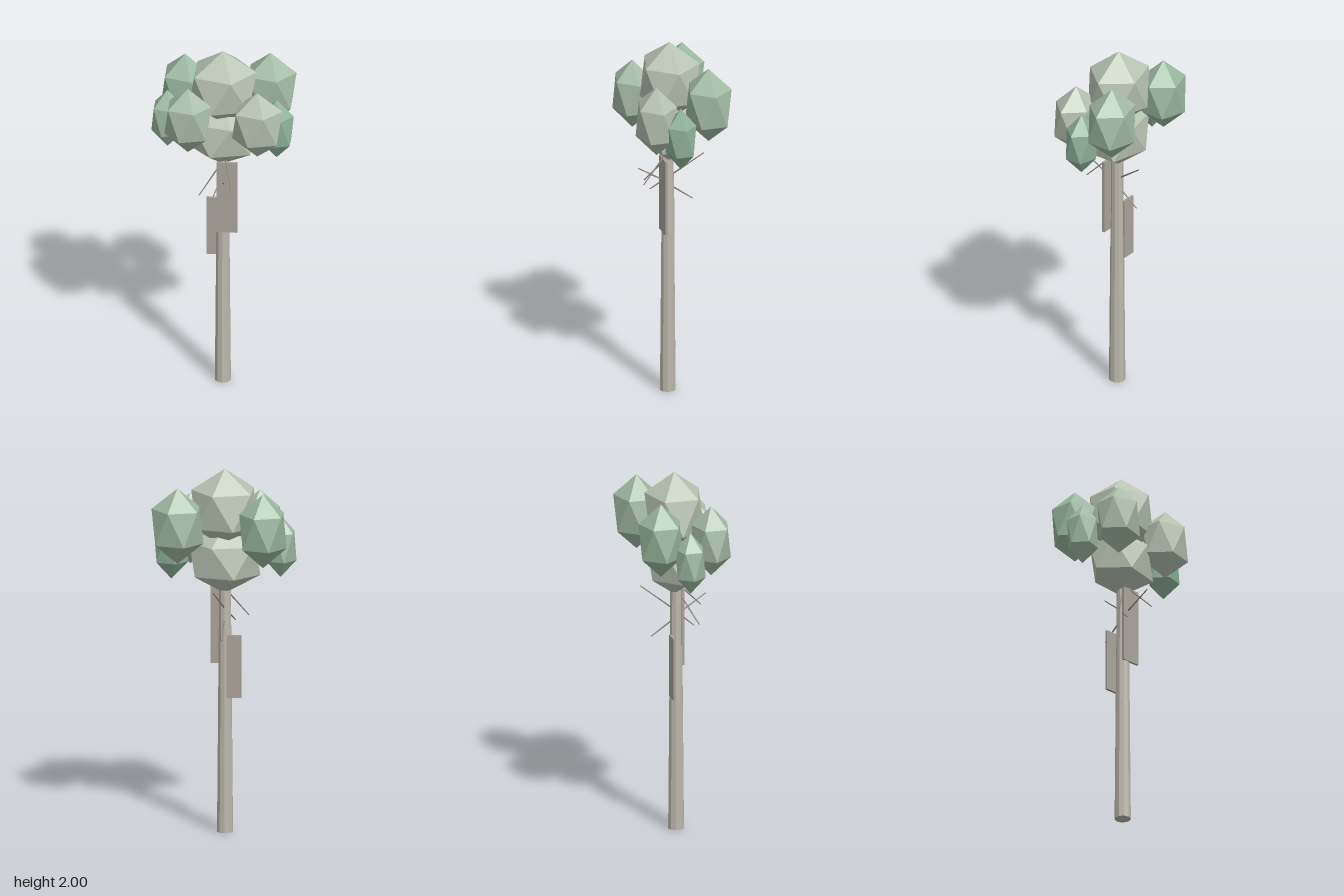
import * as THREE from 'three';

const material = (color) => new THREE.MeshStandardMaterial({ color, flatShading: true });

// Icosahedral leaf mass with a vertex at the top; rx and rz are its ring radii, h its half height
function foliageGeometry(rx, h, rz) {
  const ring = (y, turn) => Array.from({ length: 5 }, (_, i) => {
    const a = (i + turn) * Math.PI * 0.4;
    return [rx * Math.cos(a), y, rz * Math.sin(a)];
  });
  const k = h / Math.sqrt(5);
  const upper = ring(k, 0), lower = ring(-k, 0.5);
  const top = [0, h, 0], bottom = [0, -h, 0], pos = [];
  for (let i = 0; i < 5; i++) {
    const j = (i + 1) % 5;
    pos.push(...top, ...upper[j], ...upper[i]);
    pos.push(...upper[i], ...upper[j], ...lower[i]);
    pos.push(...upper[j], ...lower[j], ...lower[i]);
    pos.push(...bottom, ...lower[i], ...lower[j]);
  }
  const geometry = new THREE.BufferGeometry();
  geometry.setAttribute('position', new THREE.Float32BufferAttribute(pos, 3));
  geometry.computeVertexNormals();
  return geometry;
}

export function createModel() {
  const model = new THREE.Group();
  const add = (name, geometry, mat, x, y, z) => {
    const mesh = new THREE.Mesh(geometry, mat);
    mesh.name = name;
    mesh.position.set(x, y, z);
    model.add(mesh);
    return mesh;
  };

  // Tapered trunk
  add('trunk', new THREE.CylinderGeometry(0.032, 0.044, 1.38, 10), material(0xbdb8ad), 0, 0.69, 0.01);

  // Bark slabs on the front and back of the trunk
  const bark = material(0xaaa39b);
  add('frontBarkSlab', new THREE.BoxGeometry(0.11, 0.425, 0.014), bark, 0.025, 1.132, 0.042);
  add('backBarkSlab', new THREE.BoxGeometry(0.08, 0.345, 0.014), bark, -0.05, 0.918, -0.024);

  // Leaf masses: name, centre, ring radius x, half height, ring radius z, color
  const foliage = [
    ['crownFoliage', 0, 1.783, 0, 0.18, 0.217, 0.158, 0xb9c4b4],
    ['lowerFoliage', 0, 1.505, 0, 0.19, 0.19, 0.145, 0xb9c4b4],
    ['backRightFoliage', -0.215, 1.695, -0.136, 0.127, 0.203, 0.119, 0x9ab8a0],
    ['frontRightFoliage', -0.175, 1.655, 0.154, 0.125, 0.194, 0.104, 0xa8bda8],
    ['frontLeftFoliage', 0.195, 1.635, 0.135, 0.135, 0.194, 0.108, 0xb4c0b0],
    ['backLeftFoliage', 0.242, 1.715, -0.141, 0.139, 0.208, 0.1225, 0xa3bba5],
    ['smallRightFoliage', -0.297, 1.58, 0.005, 0.086, 0.171, 0.081, 0xa0baa4],
    ['smallLeftFoliage', 0.289, 1.557, 0.027, 0.092, 0.175, 0.081, 0x8fb39b],
  ];
  for (const [name, x, y, z, rx, h, rz, color] of foliage) {
    add(name, foliageGeometry(rx, h, rz), material(color), x, y, z);
  }

  // Bare twigs, each from the trunk to its tip
  const twigs = [
    [[-0.02, 1.31, 0.03], [-0.12, 1.17, 0.105]],
    [[0.015, 1.36, 0.03], [0.063, 1.22, 0.165]],
    [[0.003, 1.2, 0.02], [0.015, 1.3, 0.18]],
    [[-0.02, 1.2, 0.03], [-0.05, 1.145, 0.095]],
    [[0, 1.235, -0.01], [0.05, 1.36, -0.175]],
    [[0, 1.17, -0.01], [0.005, 1.086, -0.127]],
  ];
  const wood = material(0x8f877c);
  for (const [from, to] of twigs) {
    const a = new THREE.Vector3(...from), b = new THREE.Vector3(...to);
    const mid = a.clone().add(b).multiplyScalar(0.5);
    const twig = add('twig', new THREE.CylinderGeometry(0.003, 0.005, a.distanceTo(b), 5), wood, mid.x, mid.y, mid.z);
    twig.quaternion.setFromUnitVectors(new THREE.Vector3(0, 1, 0), b.sub(a).normalize());
  }
  return model;
}
